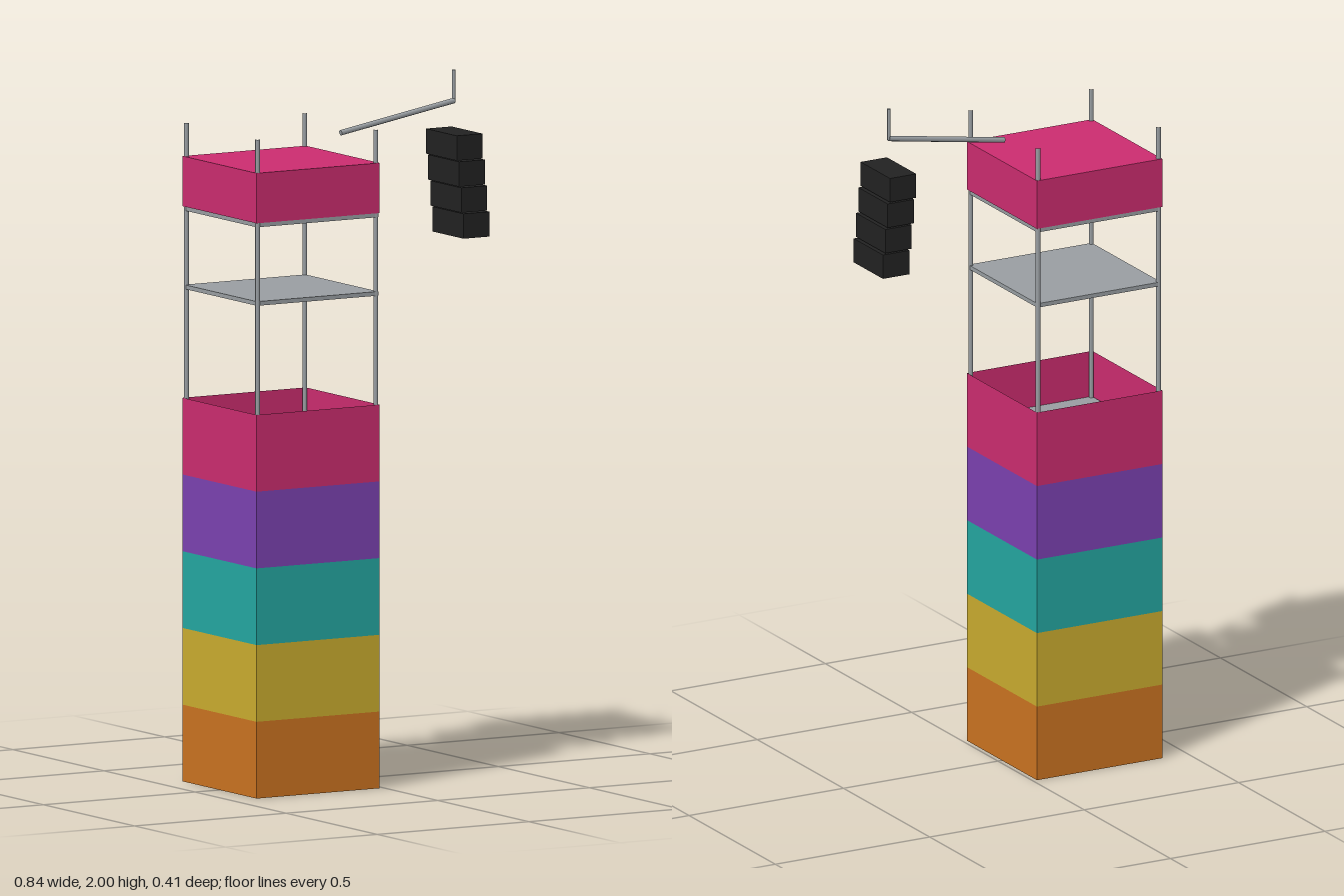
import * as THREE from 'three';

const paint = (name, color, extra = {}) => {
  const m = new THREE.MeshStandardMaterial({ color, ...extra });
  m.name = name;
  return m;
};

export function createModel() {
  const group = new THREE.Group();
  const open = { side: THREE.DoubleSide, flatShading: true };
  const steel = paint('steel grey', 0x9a9fa3);
  const black = paint('speaker black', 0x222222);
  const cloth = [
    paint('orange', 0xcc7421, open),
    paint('yellow', 0xcbad2f, open),
    paint('teal', 0x24a8a2, open),
    paint('purple', 0x7c42b2, open),
    paint('pink', 0xcd2d70, open),
  ];
  const pink = cloth[4];

  const CX = -0.216, HALF = 0.203, POST = 0.195;

  const add = (name, geometry, material, x, y, z) => {
    const mesh = new THREE.Mesh(geometry, material);
    mesh.name = name;
    mesh.position.set(x, y, z);
    group.add(mesh);
    return mesh;
  };

  // round bar between two points
  const bar = (name, a, b, radius, isOpen) => {
    const from = new THREE.Vector3(...a), to = new THREE.Vector3(...b);
    const dir = to.clone().sub(from);
    const geo = new THREE.CylinderGeometry(radius, radius, dir.length(), 8, 1, isOpen);
    const mid = from.add(to).multiplyScalar(0.5);
    const mesh = add(name, geo, steel, mid.x, mid.y, mid.z);
    mesh.quaternion.setFromUnitVectors(new THREE.Vector3(0, 1, 0), dir.normalize());
  };

  // cloth bands: open square sleeves stacked up the tower
  const bandH = 0.219;
  const r = HALF * Math.SQRT2;
  cloth.forEach((mat, i) => {
    const geo = new THREE.CylinderGeometry(r, r, bandH, 4, 1, true).rotateY(Math.PI / 4);
    add('clothBand' + (i + 1), geo, mat, CX, bandH * (i + 0.5), 0);
  });

  // corner posts
  for (const sx of [-1, 1]) {
    for (const sz of [-1, 1]) {
      const x = CX + sx * POST, z = sz * POST;
      bar('cornerPost', [x, 0, z], [x, 1.88, z], 0.007, true);
    }
  }

  // decks
  for (const y of [0.955, 1.412, 1.636]) {
    add('deck', new THREE.BoxGeometry(0.4, 0.012, 0.4), steel, CX, y, 0);
  }

  // roof block
  add('roof', new THREE.BoxGeometry(HALF * 2, 0.143, HALF * 2), pink, CX, 1.7135, 0);

  // hoist arm and its upright
  bar('hoistArm', [-0.02, 1.847, 0], [0.354, 1.912, 0], 0.008, false);
  bar('hoistUpright', [0.353, 1.908, 0], [0.353, 2.0, 0], 0.005, false);

  // hanging speaker stack, each box stepped outward
  for (let i = 0; i < 4; i++) {
    add('speakerBox' + (i + 1), new THREE.BoxGeometry(0.085, 0.071, 0.17), black,
      0.3545 + i * 0.0075, 1.789 - i * 0.0748, 0);
  }

  return group;
}
